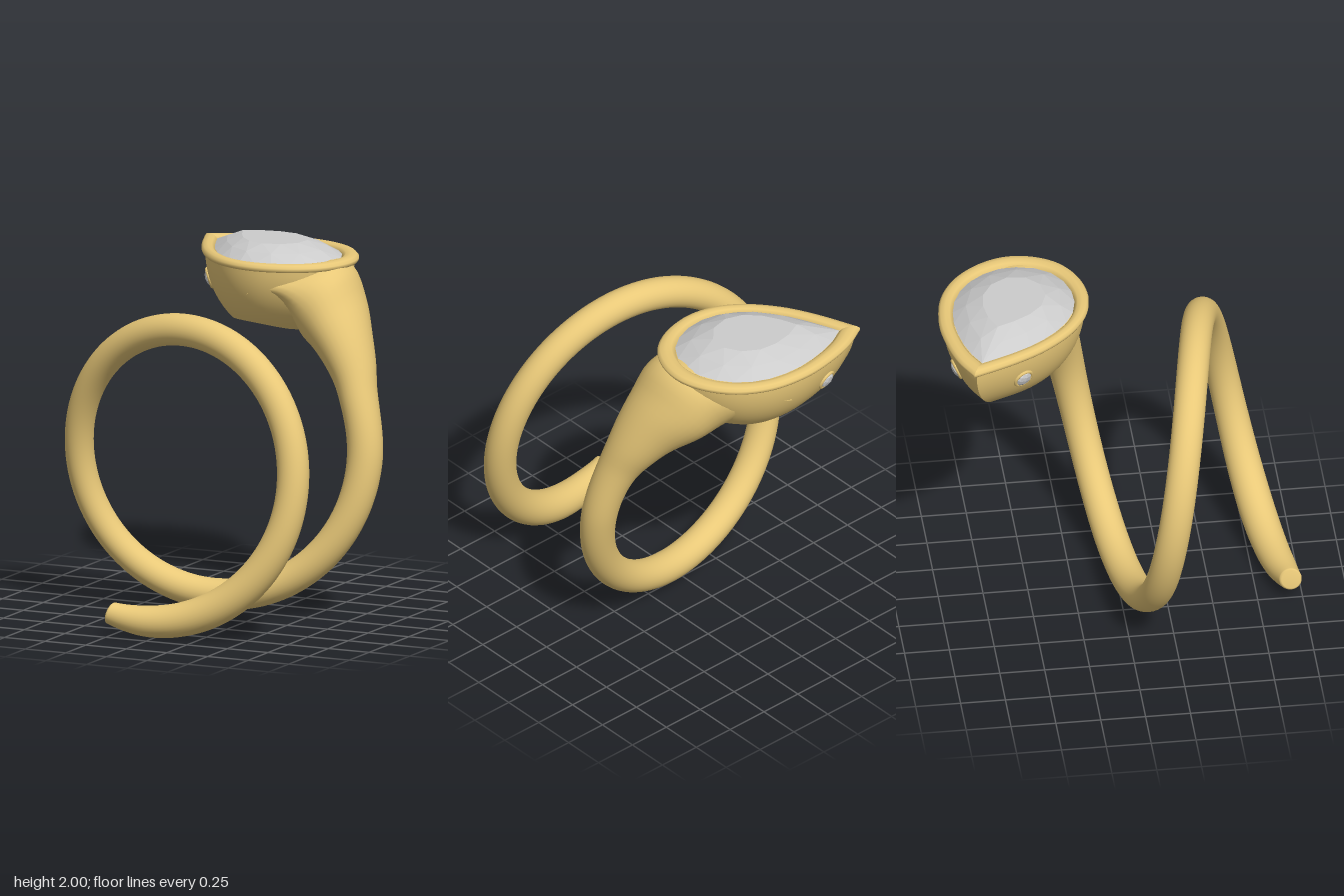
import * as THREE from 'three';
import { ConvexGeometry } from 'three/addons/geometries/ConvexGeometry.js';

const gold = new THREE.MeshStandardMaterial({ color: 0xe8c878, side: THREE.DoubleSide });
const stone = new THREE.MeshStandardMaterial({ color: 0xcccccc, flatShading: true });
const V = (x, y, z) => new THREE.Vector3(x, y, z);

// Skin a list of point rows; repeated rows give a sharp edge
function loft(rows, closed) {
  const n = rows[0].length, pos = [], idx = [];
  rows.forEach(r => r.forEach(p => pos.push(p.x, p.y, p.z)));
  for (let i = 0; i < rows.length - 1; i++) {
    for (let j = 0; j < (closed ? n : n - 1); j++) {
      const k = (j + 1) % n;
      const a = i * n + j, b = a + n, c = (i + 1) * n + k, d = i * n + k;
      idx.push(a, b, c, a, c, d);
    }
  }
  const g = new THREE.BufferGeometry();
  g.setAttribute('position', new THREE.Float32BufferAttribute(pos, 3));
  g.setIndex(idx);
  g.computeVertexNormals();
  return g;
}

function mesh(name, geometry, material) {
  const m = new THREE.Mesh(geometry, material);
  m.name = name;
  return m;
}

// Coil centre in the front plane
const CX = -0.03, CY = 0.87;

// Coil sections: angle, mid radius, radial half width, z, half width along z
const SECTIONS = [
  [-467, 0.775, 0.062, 0.935, 0.062],
  [-450, 0.78, 0.088, 0.89, 0.09],
  [-360, 0.77, 0.09, 0.67, 0.09],
  [-270, 0.78, 0.09, 0.43, 0.09],
  [-180, 0.765, 0.078, 0.21, 0.09],
  [-90, 0.775, 0.088, 0.04, 0.095],
  [0, 0.8, 0.1, -0.175, 0.1],
  [25, 0.805, 0.107, -0.25, 0.122],
  [34, 0.825, 0.125, -0.3, 0.15],
  [43, 0.85, 0.15, -0.35, 0.19],
  [54, 0.89, 0.19, -0.425, 0.255],
  [63, 0.935, 0.225, -0.47, 0.29],
  [75, 0.95, 0.105, -0.55, 0.36],
  [86, 0.88, 0.02, -0.58, 0.38],
];

// Coiled band that flares into the head
function bandGeometry() {
  const curve = new THREE.CubicInterpolant(
    SECTIONS.map(s => s[0]), SECTIONS.flatMap(s => s.slice(1)), 4, new Float32Array(4));
  const ring = (deg, k = 1) => {
    const [r, a, z, b] = curve.evaluate(deg), t = deg * Math.PI / 180;
    return Array.from({ length: 32 }, (_, j) => {
      const f = j / 32 * Math.PI * 2, q = r + k * a * Math.cos(f);
      return V(CX + q * Math.cos(t), CY + q * Math.sin(t), z + k * b * Math.sin(f));
    });
  };
  const rows = [ring(-467, 0), ring(-467, 0.85), ring(-466.6, 0.97)];
  const steps = 240;
  for (let i = 0; i <= steps; i++) rows.push(ring(-466 + 552 * i / steps));
  rows.push(ring(86), ring(86, 0));
  return loft(rows, true);
}

// Pear outline of the head, from the tip round the back and home
const HEAD = { x: 0, z: -0.575 };
const PEAR = new THREE.CatmullRomCurve3([
  [-0.55, -0.865], [-0.4, -0.94], [-0.2, -0.988], [-0.03, -1], [0.18, -0.965], [0.35, -0.87],
  [0.465, -0.73], [0.52, -0.57], [0.505, -0.42], [0.43, -0.28], [0.3, -0.19], [0.12, -0.15],
  [-0.05, -0.18], [-0.2, -0.27], [-0.35, -0.44], [-0.45, -0.62], [-0.55, -0.865],
].map(([x, z]) => V(x - HEAD.x, 0, z - HEAD.z)));

const place = (p, s, y) => V(HEAD.x + p.x * s, y, HEAD.z + p.z * s);
const bowl = y => 0.95 * Math.sqrt(Math.max(0, 1 - ((1.9 - y) / 0.44) ** 2));

// Height where the bowl wall meets the round finger hole
function hemHeight(p) {
  let y = 1.55;
  for (let i = 0; i < 25; i++) {
    const x = HEAD.x + p.x * bowl(y) - CX;
    y = (y + CY + Math.sqrt(0.49 - x * x)) / 2;
  }
  return y;
}

// Bowl with floor, walls and rounded rim in one skin
function settingGeometry() {
  const pts = PEAR.getSpacedPoints(96);
  const hems = pts.map(hemHeight);
  const row = (s, y) => pts.map(p => place(p, s, y));
  const inner = pts.map((p, i) => place(p, bowl(hems[i]) - 0.08, hems[i]));
  const outer = pts.map((p, i) => place(p, bowl(hems[i]), hems[i]));
  const rows = [row(0, 1.7), row(0.72, 1.7), row(0.72, 1.7), inner, inner, outer];
  for (let k = 0; k <= 12; k++) {
    rows.push(pts.map((p, i) => {
      const y = THREE.MathUtils.lerp(hems[i], 1.89, k / 12);
      return place(p, bowl(y), y);
    }));
  }
  rows.push(row(0.95, 1.89));
  [[0.985, 1.89], [1, 1.9], [1, 1.913], [0.97, 1.928], [0.91, 1.934],
    [0.85, 1.928], [0.81, 1.912], [0.79, 1.86]].forEach(([s, y]) => rows.push(row(s, y)));
  return loft(rows, false);
}

// Faceted pear stone: girdle, crown, table and culet
function stoneGeometry() {
  const pts = [];
  const ring = (n, shift, s, y) => {
    for (let i = 0; i < n; i++) pts.push(place(PEAR.getPointAt(((i + shift) / n) % 1), s, y));
  };
  ring(24, 0, 0.81, 1.915);
  ring(12, 0.5, 0.64, 1.963);
  ring(12, 0, 0.42, 2);
  pts.push(V(HEAD.x, 1.78, HEAD.z));
  return new ConvexGeometry(pts);
}

// Small round stone set flush into the bowl wall
function accent(name, u, y) {
  const at = (t, h) => place(PEAR.getPointAt(t), bowl(h), h);
  const point = at(u, y);
  const along = at(u + 0.01, y).sub(at(u - 0.01, y));
  const up = at(u, y + 0.01).sub(at(u, y - 0.01));
  const normal = up.cross(along).normalize();
  const g = new THREE.Group();
  g.name = name;
  const gem = mesh('accentStone', new THREE.SphereGeometry(0.05, 8, 6), stone);
  gem.scale.z = 0.5;
  g.add(gem, mesh('accentCollar', new THREE.TorusGeometry(0.052, 0.01, 8, 24), gold));
  g.position.copy(point);
  g.quaternion.setFromUnitVectors(V(0, 0, 1), normal);
  return g;
}

// Position along the outline with a given x, searched over one flank
function findU(x, from, to) {
  let best = from;
  for (let u = from; u <= to; u += 0.002) {
    if (Math.abs(PEAR.getPointAt(u).x - x) < Math.abs(PEAR.getPointAt(best).x - x)) best = u;
  }
  return best;
}

export function createModel() {
  const ring = new THREE.Group();
  ring.name = 'coiledRing';
  ring.add(
    mesh('coiledBand', bandGeometry(), gold),
    mesh('stoneSetting', settingGeometry(), gold),
    mesh('pearStone', stoneGeometry(), stone),
    accent('frontAccent', findU(-0.425, 0.7, 0.97), 1.74),
    accent('backAccent', findU(-0.28, 0.03, 0.3), 1.74),
  );
  return ring;
}
